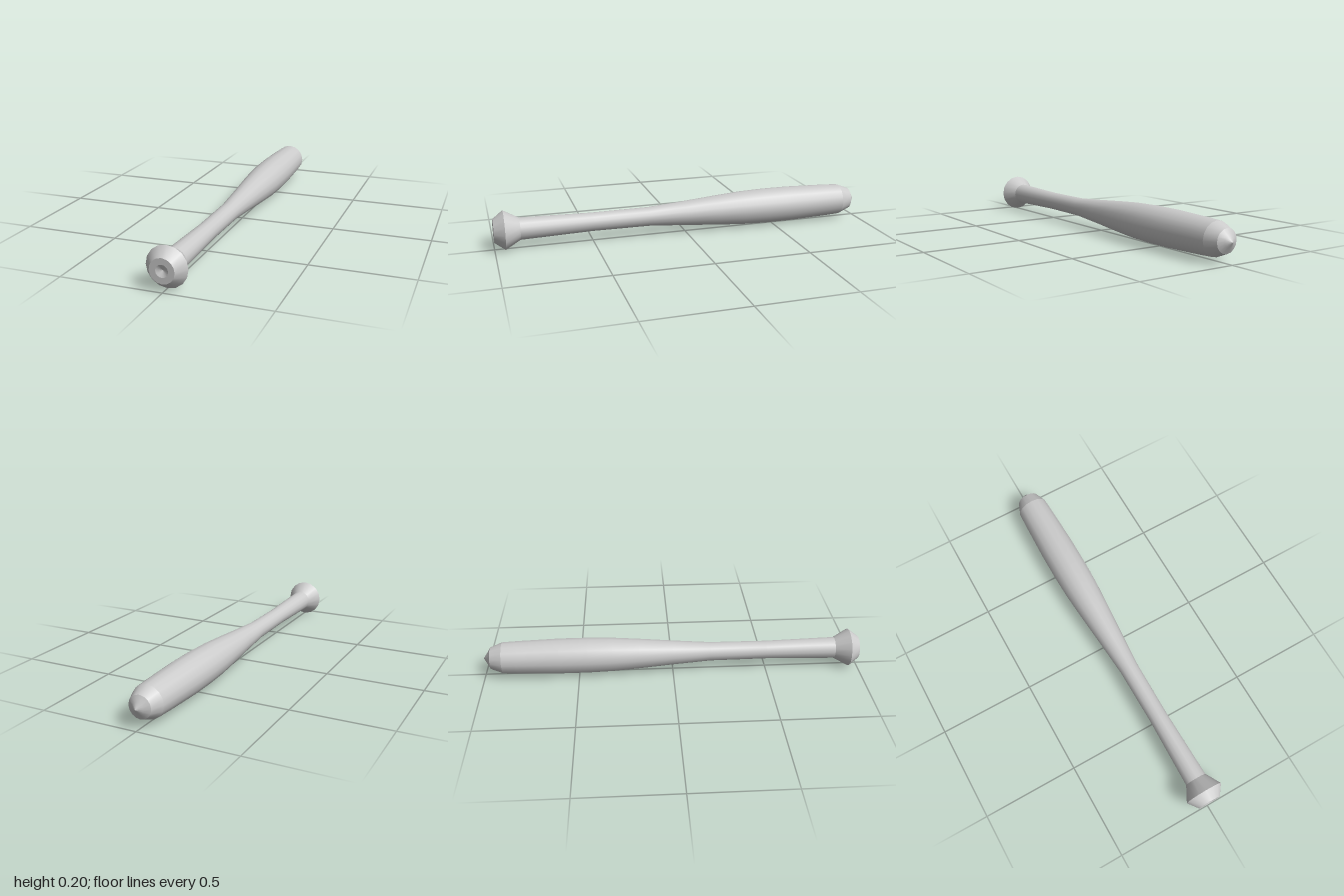
import * as THREE from 'three';

const AXIS_HEIGHT = 0.1;
const SIDES = 16;

// Each section is a list of [radius, z], from the back tip to the front knob.
// Separate sections keep the edges between them crisp.
const sections = {
  tipCone: [[0, -1], [0.03, -0.98], [0.058, -0.963]],
  tipBevel: [[0.058, -0.963], [0.083, -0.9]],
  barrelAndHandle: [
    [0.083, -0.9], [0.087, -0.82], [0.094, -0.6], [0.094, -0.45], [0.09, -0.32],
    [0.08, -0.18], [0.065, 0], [0.05, 0.2], [0.048, 0.5], [0.057, 0.87],
  ],
  knobFlare: [[0.057, 0.87], [0.1, 0.947]],
  knobBevel: [[0.1, 0.947], [0.06, 1]],
  knobFace: [[0.06, 1], [0.03, 1]],
  knobDimple: [[0.03, 1], [0, 0.985]],
};

export function createModel() {
  const group = new THREE.Group();
  group.name = 'bat';
  const material = new THREE.MeshStandardMaterial({ color: 0xcccccc });

  // Turn every section around the z axis
  for (const [name, profile] of Object.entries(sections)) {
    const points = profile.map(([r, z]) => new THREE.Vector2(r, z));
    const geometry = new THREE.LatheGeometry(points, SIDES);
    geometry.rotateX(Math.PI / 2);
    geometry.translate(0, AXIS_HEIGHT, 0);
    const mesh = new THREE.Mesh(geometry, material);
    mesh.name = name;
    group.add(mesh);
  }
  return group;
}
